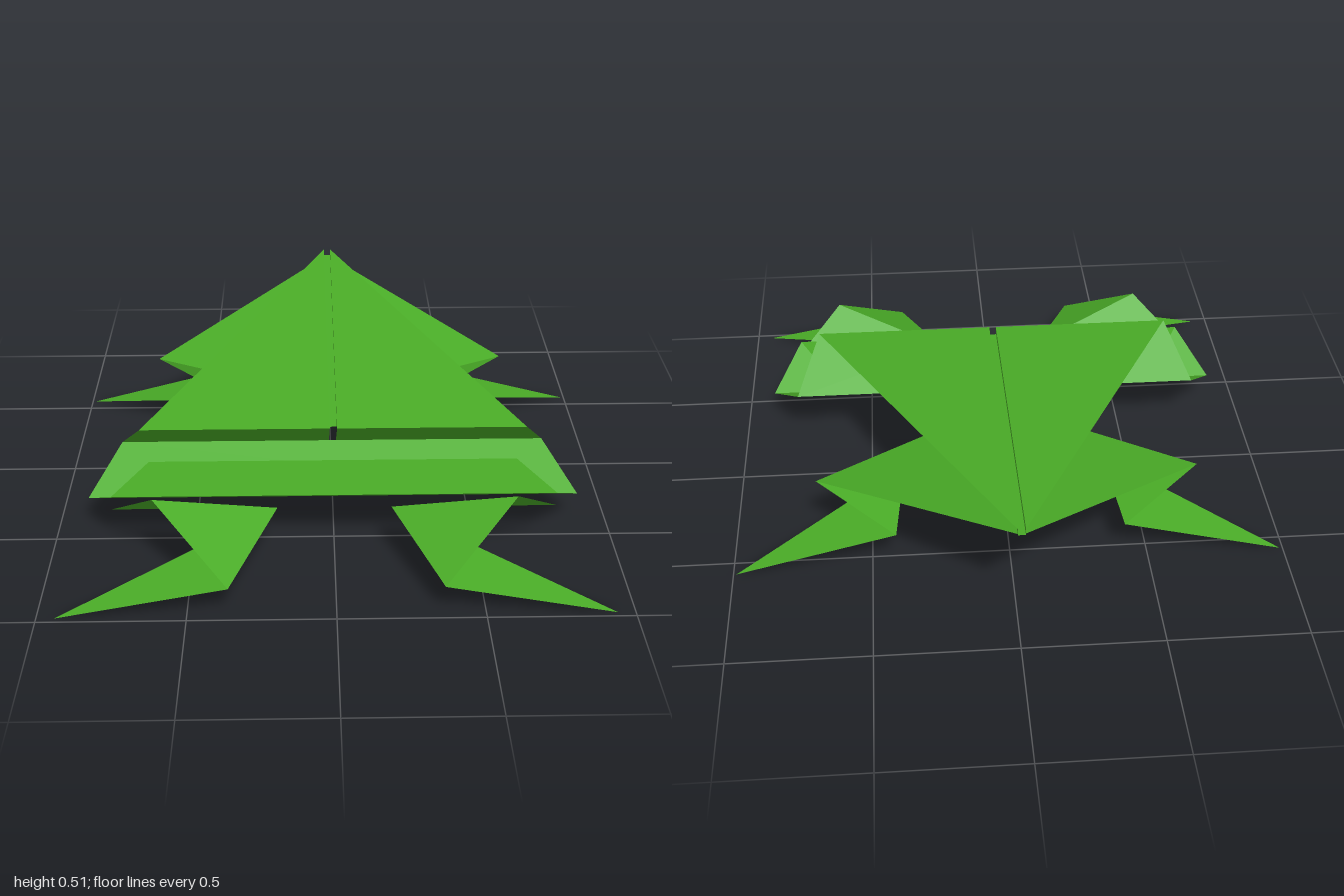
import * as THREE from 'three';

// Folded paper sheet: every facet is a flat, double-sided polygon.
const greenPaper = new THREE.MeshStandardMaterial({ color: 0x4aac27, side: THREE.DoubleSide });
greenPaper.name = 'green paper';

// One mesh from flat convex polygons, each fanned into triangles
function facets(name, polygons) {
  const pos = [];
  for (const p of polygons) {
    for (let i = 1; i < p.length - 1; i++) pos.push(...p[0], ...p[i], ...p[i + 1]);
  }
  const geo = new THREE.BufferGeometry();
  geo.setAttribute('position', new THREE.Float32BufferAttribute(pos, 3));
  geo.computeVertexNormals();
  const mesh = new THREE.Mesh(geo, greenPaper);
  mesh.name = name;
  return mesh;
}

// Strip spanning left to right between two creases [halfWidth, y, z]
function strip(name, [w0, y0, z0], [w1, y1, z1]) {
  return facets(name, [[[-w0, y0, z0], [w0, y0, z0], [w1, y1, z1], [-w1, y1, z1]]]);
}

export function createModel() {
  const model = new THREE.Group();
  model.name = 'paperFrog';
  const G = 0.013; // half width of the spine groove

  for (const s of [1, -1]) {
    const side = s > 0 ? 'left' : 'right';
    const v = (x, y, z) => [s * x, y, z];

    // Half of the sloping back and of the first pleat, either side of the groove
    model.add(facets(side + 'Back', [
      [v(G, 0.515, -0.98), v(G, 0.39, 0.4), v(0.69, 0.39, 0.4)],
    ]));
    model.add(facets(side + 'UpperPleat', [
      [v(G, 0.39, 0.4), v(0.69, 0.39, 0.4), v(0.78, 0.23, 0.2), v(G, 0.23, 0.2)],
    ]));

    // Groove wall
    model.add(facets(side + 'GrooveWall', [
      [v(G, 0.39, 0.4), v(G, 0.515, -0.98), v(G, 0.49, -0.98), v(G, 0.367, 0.345), v(G, 0.352, 0.35)],
    ]));

    // Leg at the wide end: raised thigh flap and flat foot
    const hip = v(0.2, 0.18, 0.59), outer = v(0.78, 0.18, 0.59), knee = v(0.62, 0.31, 0.74);
    const heel = v(0.36, 0.11, 0.98), toe = v(0.94, 0, 0.98);
    model.add(facets(side + 'FrontThigh', [[hip, outer, knee], [hip, knee, heel]]));
    model.add(facets(side + 'FrontFoot', [[hip, heel, toe]]));

    // Leg at the pointed end: under-body flap, thigh and foot
    const tip = v(0, 0.49, -0.98), belly = v(0, 0.3, 0), knee2 = v(0.69, 0.28, -0.395);
    const fold = v(0.37, 0.19, -0.21), heel2 = v(0.41, 0.15, -0.56), toe2 = v(0.99, 0, -0.56);
    model.add(facets(side + 'UnderFlap', [[tip, belly, knee2]]));
    model.add(facets(side + 'RearThigh', [[belly, knee2, fold], [fold, knee2, heel2]]));
    model.add(facets(side + 'RearFoot', [[fold, heel2, toe2]]));
  }

  // Floor of the spine groove
  model.add(strip('grooveFloor', [G, 0.49, -0.98], [G, 0.367, 0.345]));

  // Zigzag pleats below the back
  model.add(strip('middlePleat', [0.78, 0.23, 0.2], [0.89, 0.11, 0.4]));
  model.add(strip('lowerPleat', [0.89, 0.11, 0.4], [0.78, 0.23, 0.59]));
  model.add(strip('innerFlap', [0.78, 0.23, 0.59], [0.668, 0.234, 0.355]));

  return model;
}
